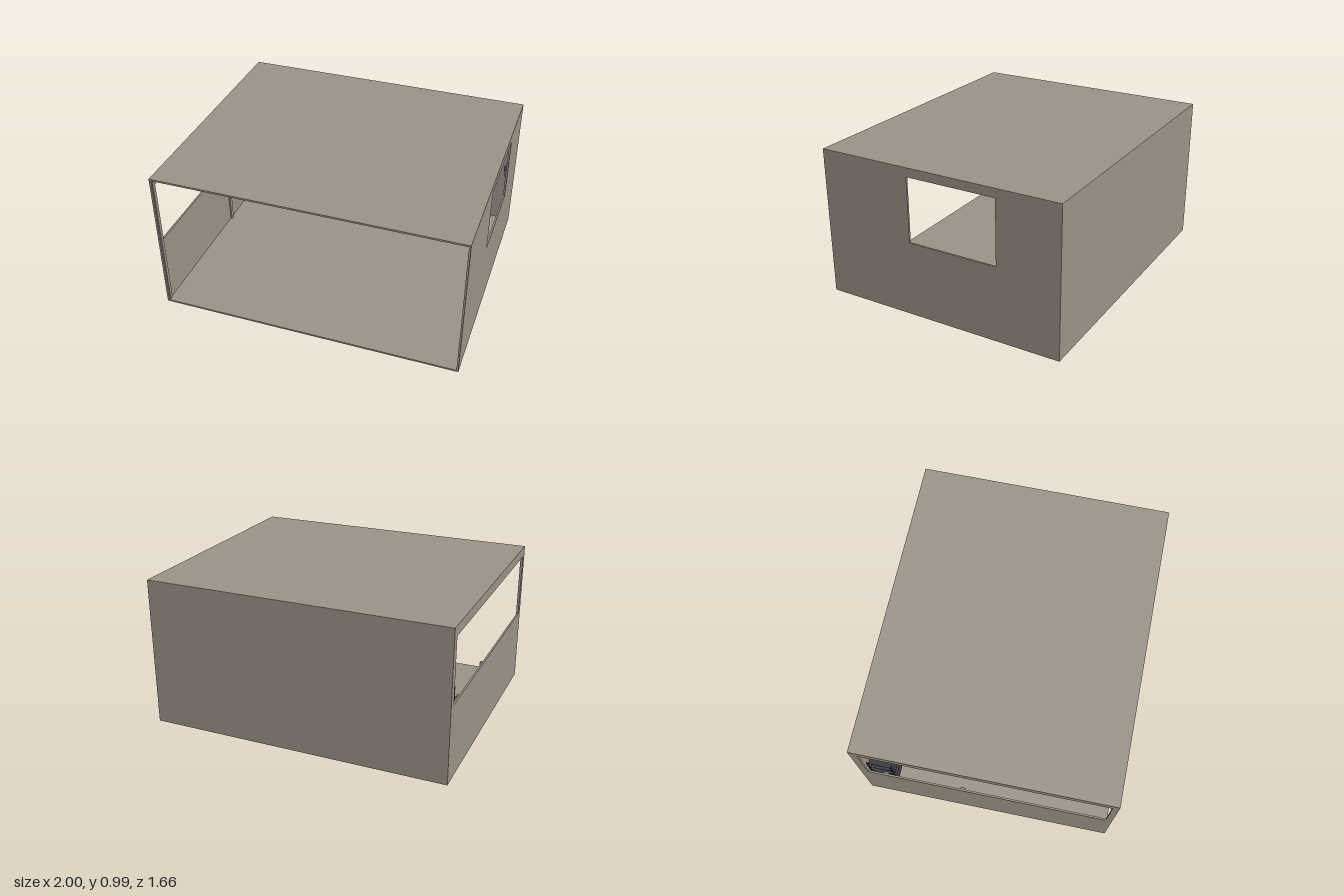
import * as THREE from 'three';

const material = (color, side = THREE.FrontSide) => new THREE.MeshStandardMaterial({ color, side });
const wallMat = material(0x9d9488);
const rackMat = material(0x35323c);
const tanMat = material(0x7d6c50);
const blueMat = material(0x74788a);
const cableMat = material(0x2b2924);

const W = 1, D = 0.83, H = 0.99, T = 0.012; // half width, half depth, height, wall thickness

function add(parent, name, geometry, mat) {
  const mesh = new THREE.Mesh(geometry, mat);
  mesh.name = name;
  parent.add(mesh);
  return mesh;
}

// Box given by its limits on each axis
function box(parent, name, mat, x0, x1, y0, y1, z0, z1) {
  const mesh = add(parent, name, new THREE.BoxGeometry(x1 - x0, y1 - y0, z1 - z0), mat);
  mesh.position.set((x0 + x1) / 2, (y0 + y1) / 2, (z0 + z1) / 2);
  return mesh;
}

// Side wall with one rectangular opening; outer face ends at x
function sideWall(parent, name, x, z0, z1, y0, y1) {
  const rect = (P, a, b, c, d) => new P([[a, c], [b, c], [b, d], [a, d]].map(p => new THREE.Vector2(...p)));
  const shape = rect(THREE.Shape, -D, D, T, H - T);
  shape.holes.push(rect(THREE.Path, z0, z1, y0, y1));
  const geometry = new THREE.ExtrudeGeometry(shape, { depth: T, bevelEnabled: false });
  geometry.rotateY(-Math.PI / 2).translate(x, 0, 0);
  add(parent, name, geometry, wallMat);
}

function cable(parent, name, points, radius = 0.004) {
  const curve = new THREE.CatmullRomCurve3(points.map(p => new THREE.Vector3(...p)));
  add(parent, name, new THREE.TubeGeometry(curve, points.length * 6, radius, 6), cableMat);
}

// Wall box with a raised lid, a small knob and corner screws; back lies on z = 0
function electricBox(parent, name, mat, w, h) {
  const g = new THREE.Group();
  g.name = name;
  box(g, 'boxBody', mat, -w / 2, w / 2, -h / 2, h / 2, 0, 0.024);
  box(g, 'boxLid', mat, -w / 2 + 0.004, w / 2 - 0.004, -h / 2 + 0.004, h / 2 - 0.004, 0.024, 0.029);
  const knob = add(g, 'boxKnob', new THREE.CylinderGeometry(0.005, 0.005, 0.008, 10), cableMat);
  knob.rotation.x = Math.PI / 2;
  knob.position.set(-0.008, 0, 0.032);
  for (const s of [-1, 1]) {
    const screw = add(g, 'boxScrew', new THREE.CylinderGeometry(0.002, 0.002, 0.003, 6), cableMat);
    screw.rotation.x = Math.PI / 2;
    screw.position.set(s * (w / 2 - 0.008), s * -(h / 2 - 0.008), 0.03);
  }
  parent.add(g);
  return g;
}

export function createModel() {
  const model = new THREE.Group();

  // Shell, open at the front
  const shell = new THREE.Group();
  shell.name = 'roomShell';
  model.add(shell);
  box(shell, 'floor', wallMat, -W, W, 0, T, -D, D);
  box(shell, 'roof', wallMat, -W, W, H - T, H, -D, D);
  box(shell, 'backWall', wallMat, -W + T, W - T, T, H - T, -D, -D + T);
  sideWall(shell, 'windowWall', W, -0.41, 0.2, 0.5, 0.93);
  sideWall(shell, 'halfWall', -W + T, -0.78, 0.79, 0.5, 0.925);
  // Posts along the half wall
  box(shell, 'cornerPost', wallMat, -W + T, -0.982, T, H - T, 0.795, 0.82);
  for (const z of [-0.15, -0.66]) {
    box(shell, 'wallStud', wallMat, -W + T, -0.978, T, 0.505, z - 0.015, z + 0.015);
  }

  // Shelf rack in the back corner
  const rack = new THREE.Group();
  rack.name = 'shelfRack';
  model.add(rack);
  for (const x of [-0.955, -0.71]) {
    for (const z of [-0.79, -0.635]) {
      box(rack, 'rackPost', rackMat, x - 0.006, x + 0.006, T, 0.545, z - 0.006, z + 0.006);
    }
  }
  for (const y of [0.118, 0.217, 0.315, 0.416, 0.516]) {
    box(rack, 'rackShelf', rackMat, -0.953, -0.712, y - 0.003, y + 0.003, -0.788, -0.637);
  }

  // Boxes on the back wall
  const wiring = new THREE.Group();
  wiring.name = 'wiring';
  model.add(wiring);
  const zw = -D + T, zc = zw + 0.012;
  const boxes = [
    [-0.168, 0.765, 0.055, 0.068, tanMat], [-0.083, 0.765, 0.054, 0.058, blueMat],
    [0.683, 0.5, 0.055, 0.068, tanMat], [0.761, 0.502, 0.052, 0.054, blueMat],
    [0.829, 0.502, 0.052, 0.054, tanMat],
  ];
  for (const [x, y, w, h, mat] of boxes) {
    electricBox(wiring, 'wallBox', mat, w, h).position.set(x, y, zw);
  }

  // Conduits to the roof and loops between boxes
  for (const [x, y] of [[-0.081, 0.793], [0.679, 0.533]]) {
    box(wiring, 'conduit', cableMat, x - 0.004, x + 0.004, y, H - T, zc - 0.004, zc + 0.004);
  }
  for (const [x0, x1, y0, y1, top] of [
    [-0.16, -0.096, 0.798, 0.793, 0.84], [0.692, 0.75, 0.533, 0.528, 0.58], [0.777, 0.83, 0.528, 0.528, 0.564],
  ]) {
    cable(wiring, 'loopCable', [[x0, y0, zc], [x0 + 0.001, top - 0.015, zc], [x0 + 0.012, top, zc],
      [x1 - 0.012, top, zc], [x1 - 0.001, top - 0.015, zc], [x1, y1, zc]], 0.003);
  }

  // Loose hanging cables
  cable(wiring, 'hangingCable', [[-0.166, 0.732, zc], [-0.166, 0.55, zc], [-0.168, 0.42, zc], [-0.164, 0.36, zc],
    [-0.158, 0.3, zc], [-0.161, 0.25, zc], [-0.167, 0.2, zc], [-0.164, 0.175, zc], [-0.154, 0.16, zc]]);
  cable(wiring, 'floorCable', [[0.681, 0.467, zc], [0.681, 0.37, zc], [0.685, 0.28, zc], [0.689, 0.2, zc],
    [0.682, 0.13, zc], [0.682, 0.07, zc], [0.696, 0.038, zc], [0.73, 0.024, zc], [0.82, 0.018, zc]]);

  // Switch box on the window wall
  const side = electricBox(model, 'sideSwitchBox', blueMat, 0.055, 0.085);
  side.rotation.y = -Math.PI / 2;
  side.position.set(W - T, 0.585, -0.6);
  box(side, 'switchLever', rackMat, -0.006, 0.006, -0.012, 0.028, 0.029, 0.036);
  cable(side, 'sideCable', [[0, -0.04, 0.012], [0.003, -0.07, 0.013], [-0.003, -0.1, 0.01], [0, -0.128, 0.012]], 0.005);

  return model;
}
